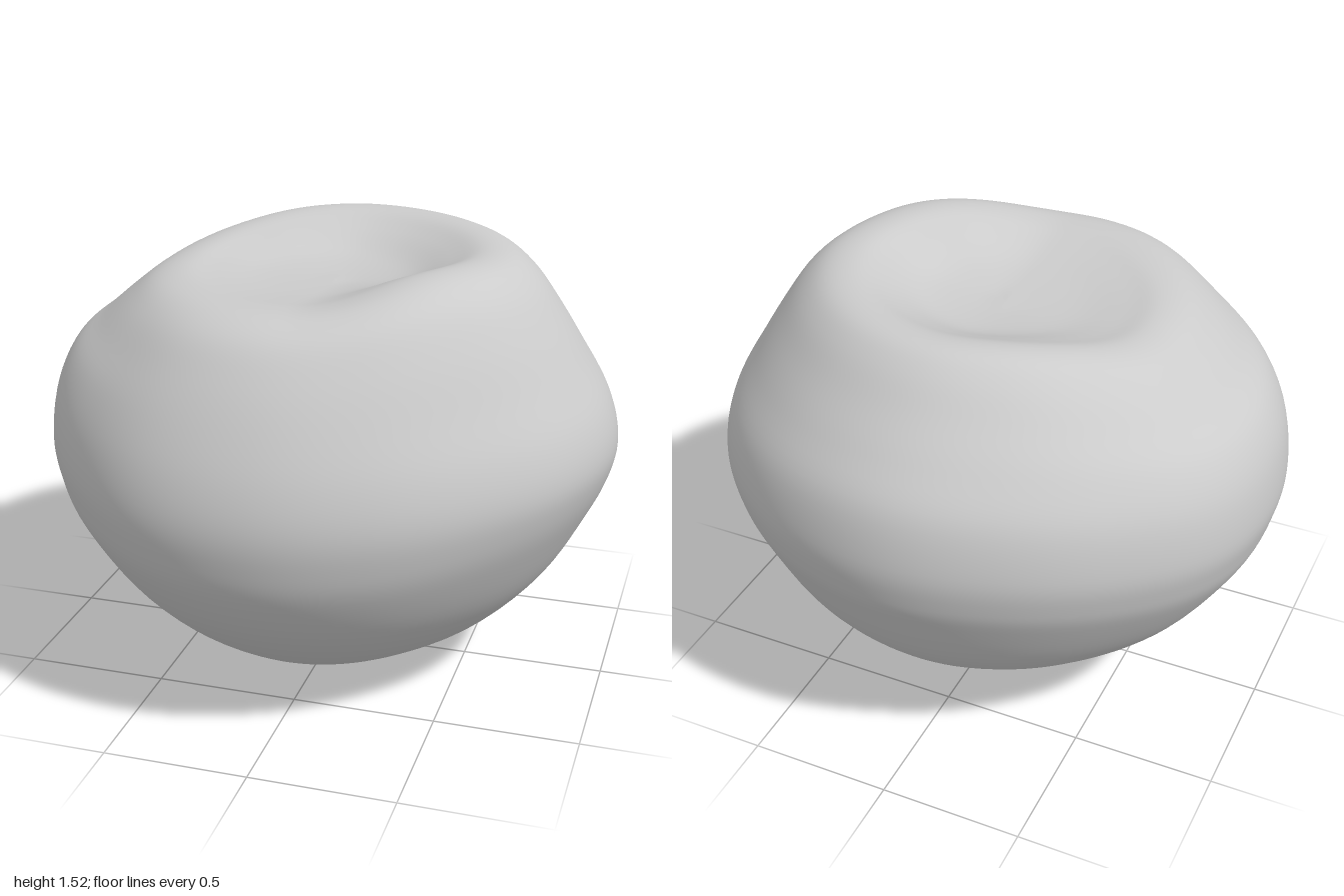
import * as THREE from 'three';

// [radius, height] profiles from the underside, round the shoulder and rim, into the top hollow
const profiles = {
  left: [[0, 0], [0.08, 0.002], [0.2, 0.024], [0.4, 0.09], [0.62, 0.23], [0.8, 0.42], [0.925, 0.64], [0.985, 0.78], [1, 0.89],
    [0.965, 1.02], [0.88, 1.17], [0.795, 1.31], [0.71, 1.43], [0.62, 1.5], [0.51, 1.515], [0.4, 1.475], [0.26, 1.415], [0.1, 1.39], [0, 1.388]],
  front: [[0, 0], [0.08, 0.002], [0.2, 0.024], [0.4, 0.09], [0.62, 0.23], [0.8, 0.4], [0.92, 0.58], [0.965, 0.72], [0.975, 0.85],
    [0.945, 0.99], [0.88, 1.14], [0.805, 1.27], [0.72, 1.375], [0.62, 1.425], [0.51, 1.433], [0.4, 1.42], [0.25, 1.4], [0.1, 1.39], [0, 1.388]],
  right: [[0, 0], [0.08, 0.008], [0.2, 0.045], [0.4, 0.13], [0.62, 0.265], [0.8, 0.44], [0.94, 0.65], [0.985, 0.77], [1, 0.88],
    [0.975, 1.04], [0.91, 1.17], [0.81, 1.255], [0.71, 1.34], [0.62, 1.405], [0.52, 1.43], [0.41, 1.415], [0.26, 1.395], [0.1, 1.388], [0, 1.388]],
  back: [[0, 0], [0.08, 0.006], [0.2, 0.035], [0.4, 0.115], [0.62, 0.275], [0.8, 0.47], [0.925, 0.71], [0.965, 0.83], [0.975, 0.96],
    [0.935, 1.13], [0.84, 1.26], [0.74, 1.37], [0.65, 1.465], [0.57, 1.515], [0.48, 1.515], [0.38, 1.47], [0.25, 1.41], [0.1, 1.39], [0, 1.388]],
};

// Small outline corrections at 16 even angles, starting at +x and turning towards +z
const outline = [1, 0.975, 0.95, 0.965, 1, 1.02, 1, 0.995, 1, 1.005, 0.98, 0.98, 1, 0.995, 0.985, 0.985];

function outlineScale(angle) {
  const f = (angle / (Math.PI * 2)) * 16;
  const i = Math.floor(f), t = f - i;
  const at = (k) => outline[(k + 16) % 16];
  const [a, b, c, d] = [at(i - 1), at(i), at(i + 1), at(i + 2)];
  return b + 0.5 * t * (c - a + t * (2 * a - 5 * b + 4 * c - d + t * (3 * (b - c) + d - a)));
}

// Blend the two neighbouring profiles, lifting the rim a little on the front-left and back-right
function profileAt(angle) {
  const c = Math.cos(angle), s = Math.sin(angle);
  const px = c > 0 ? profiles.left : profiles.right;
  const pz = s > 0 ? profiles.front : profiles.back;
  const scale = outlineScale(angle);
  const diagonal = Math.sin(2 * angle) ** 2;
  const lift = c * s > 0 ? (c > 0 ? 0.035 : 0.015) * diagonal : 0;
  return new THREE.SplineCurve(px.map((p, i) => {
    const r = p[0] * c * c + pz[i][0] * s * s;
    const y = p[1] * c * c + pz[i][1] * s * s;
    const onRim = THREE.MathUtils.smoothstep(y, 1.1, 1.4) * THREE.MathUtils.smoothstep(r, 0.1, 0.5);
    return new THREE.Vector2(r * scale, y + lift * onRim);
  }));
}

function bodyGeometry(columns = 128, rows = 90) {
  const positions = [0, 0, 0], index = [];
  // Rings between the two poles
  const curves = Array.from({ length: columns }, (_, j) => profileAt((j / columns) * Math.PI * 2));
  for (let i = 1; i < rows; i++) {
    for (let j = 0; j < columns; j++) {
      const a = (j / columns) * Math.PI * 2;
      const p = curves[j].getPoint(i / rows);
      positions.push(p.x * Math.cos(a), Math.max(p.y, 0), p.x * Math.sin(a));
    }
  }
  positions.push(0, 1.388, 0);
  const top = positions.length / 3 - 1;
  const id = (i, j) => 1 + (i - 1) * columns + (j % columns);
  for (let j = 0; j < columns; j++) {
    index.push(0, id(1, j), id(1, j + 1));
    for (let i = 1; i < rows - 1; i++) {
      index.push(id(i, j), id(i + 1, j), id(i + 1, j + 1));
      index.push(id(i, j), id(i + 1, j + 1), id(i, j + 1));
    }
    index.push(id(rows - 1, j), top, id(rows - 1, j + 1));
  }
  const geometry = new THREE.BufferGeometry();
  geometry.setAttribute('position', new THREE.Float32BufferAttribute(positions, 3));
  geometry.setIndex(index);
  geometry.computeVertexNormals();
  return geometry;
}

export function createModel() {
  const group = new THREE.Group();
  group.name = 'roundedLump';
  // Rounded body with a shallow hollow in its tilted top
  const body = new THREE.Mesh(bodyGeometry(), new THREE.MeshStandardMaterial({ color: 0xcccccc }));
  body.name = 'body';
  group.add(body);
  return group;
}
